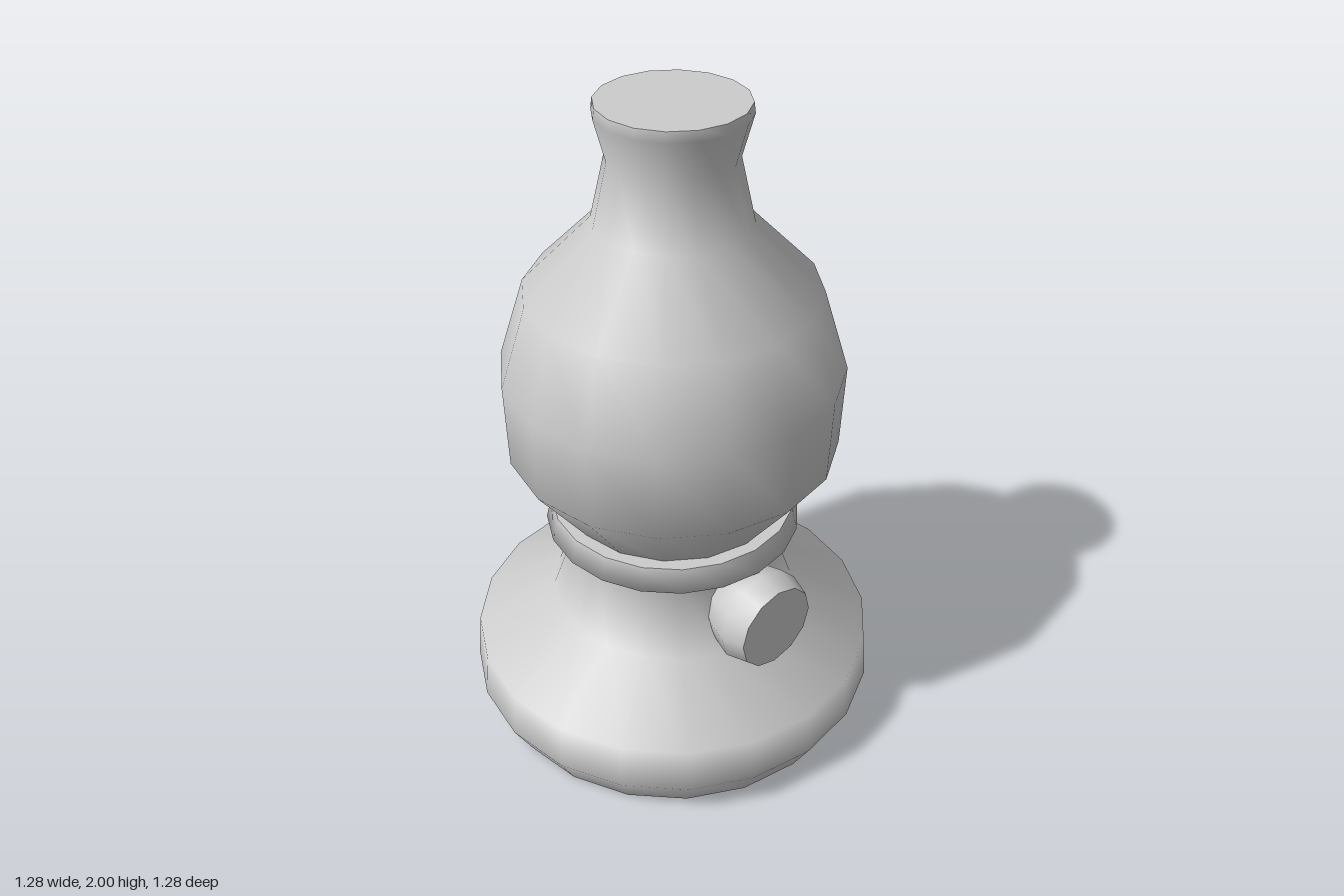
import * as THREE from 'three';

const grey = new THREE.MeshStandardMaterial({ color: 0xcccccc });
grey.name = 'plainGrey';

function add(group, name, geometry) {
  const mesh = new THREE.Mesh(geometry, grey);
  mesh.name = name;
  group.add(mesh);
  return mesh;
}

// Smooth surface of revolution from [radius, height] pairs, bottom to top
function turned(profile, sides) {
  return new THREE.LatheGeometry(profile.map(([r, y]) => new THREE.Vector2(r, y)), sides);
}

// Flat horizontal disc with its own normals, so its rim stays sharp
function disc(radius, y, sides, up = true) {
  return new THREE.CircleGeometry(radius, sides)
    .rotateX(up ? -Math.PI / 2 : Math.PI / 2)
    .translate(0, y, 0);
}

export function createModel() {
  const lamp = new THREE.Group();
  lamp.name = 'oilLamp';

  // Fuel bowl, waist and flared collar
  add(lamp, 'base', turned([
    [0.58, 0], [0.64, 0.11], [0.627, 0.25], [0.38, 0.385],
    [0.3, 0.61], [0.39, 0.66], [0.372, 0.735],
  ], 20));
  add(lamp, 'baseBottom', disc(0.58, 0, 20, false));
  add(lamp, 'collarTop', disc(0.372, 0.735, 20));

  // Glass globe and chimney
  add(lamp, 'chimney', turned([
    [0.33, 0.73], [0.494, 0.95], [0.502, 1.21], [0.425, 1.455],
    [0.225, 1.66], [0.182, 1.85], [0.214, 1.97], [0.21, 2],
  ], 16));
  add(lamp, 'chimneyTop', disc(0.21, 2, 16));

  // Wick knob on the model's left, pointing along +x
  const knob = new THREE.Group();
  knob.name = 'wickKnob';
  add(knob, 'knobSide', turned([
    [0.06, 0.2], [0.1, 0.27], [0.135, 0.33], [0.155, 0.405], [0.134, 0.475],
  ], 12));
  add(knob, 'knobFace', disc(0.134, 0.475, 12));
  knob.rotation.z = -Math.PI / 2;
  knob.position.y = 0.503;
  lamp.add(knob);

  return lamp;
}
